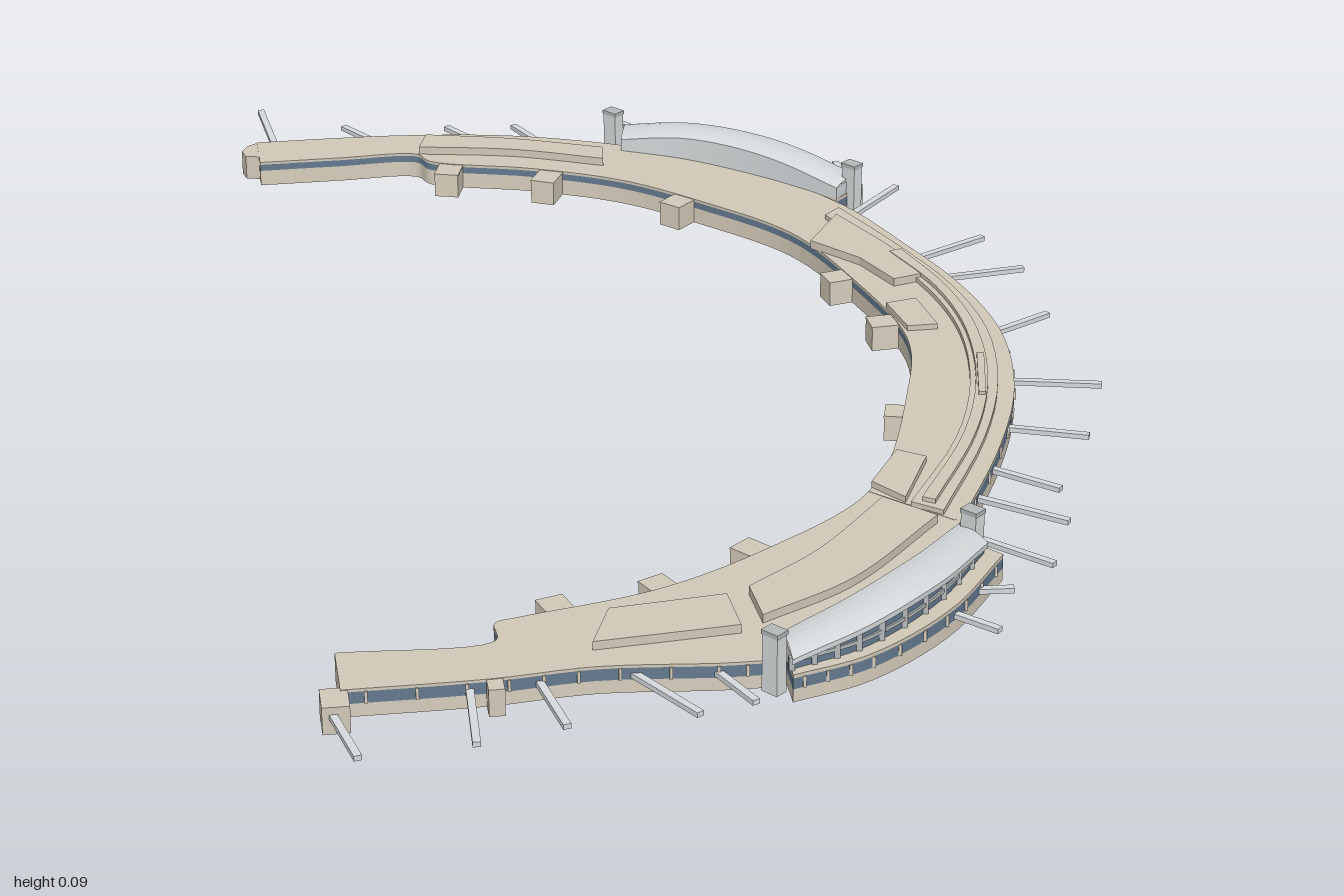
import * as THREE from 'three';

const mat = (name, color) => new THREE.MeshStandardMaterial({ name, color, side: THREE.DoubleSide });

export function createModel() {
  const M = {
    roof: mat('roof beige', 0xd1c8b7),
    wall: mat('wall cream', 0xd6cdbc),
    glass: mat('window blue', 0x64798e),
    pale: mat('pale metal', 0xd6dadc),
    grey: mat('frame grey', 0xb4b8b9),
  };
  const model = new THREE.Group();
  model.name = 'crescentTerminal';

  const add = (name, geo, m) => {
    const mesh = new THREE.Mesh(geo, m);
    mesh.name = name;
    model.add(mesh);
  };
  // Smooth plan curve [x, z] sampled into points
  const smooth = (pts, n = 60) =>
    new THREE.CatmullRomCurve3(pts.map(([x, z]) => new THREE.Vector3(x, 0, z))).getPoints(n).map(p => [p.x, p.z]);
  // Horizontal slab from a plan outline
  const slab = (name, pts, y0, y1, m) => {
    const shape = new THREE.Shape(pts.map(([x, z]) => new THREE.Vector2(x, z)));
    const g = new THREE.ExtrudeGeometry(shape, { depth: y1 - y0, bevelEnabled: false });
    g.rotateX(Math.PI / 2).translate(0, y1, 0);
    add(name, g, m);
  };
  // Grid of faces through rows of 3D points
  const loft = (name, rows, m) => {
    const v = [];
    for (let i = 0; i < rows.length - 1; i++)
      for (let j = 0; j < rows[i].length - 1; j++) {
        const [a, b, c, d] = [rows[i][j], rows[i][j + 1], rows[i + 1][j + 1], rows[i + 1][j]];
        v.push(...a, ...b, ...c, ...a, ...c, ...d);
      }
    const g = new THREE.BufferGeometry();
    g.setAttribute('position', new THREE.Float32BufferAttribute(v, 3));
    g.computeVertexNormals();
    add(name, g, m);
  };
  // Upright wall strip; bottom and top are functions of the fraction along it
  const band = (name, pts, bottom, top, m) => {
    const row = f => pts.map(([x, z], i) => [x, typeof f === 'function' ? f(i / (pts.length - 1)) : f, z]);
    loft(name, [row(top), row(bottom)], m);
  };
  // Box laid from one plan point to another
  const bar = (name, [x0, z0], [x1, z1], w, y0, y1, m) => {
    const g = new THREE.BoxGeometry(Math.hypot(x1 - x0, z1 - z0), y1 - y0, w);
    g.rotateY(-Math.atan2(z1 - z0, x1 - x0)).translate((x0 + x1) / 2, (y0 + y1) / 2, (z0 + z1) / 2);
    add(name, g, m);
  };
  const block = (name, x, z, w, d, angle, y0, y1, m) => {
    const g = new THREE.BoxGeometry(w, y1 - y0, d);
    g.rotateY(angle).translate(x, (y0 + y1) / 2, z);
    add(name, g, m);
  };
  const ribbon = (a, b, n = 24) => [...smooth(a, n), ...smooth(b, n).reverse()];

  // Main crescent: open-bottomed shell under one roof
  const outer = smooth([[-0.54, -0.84], [-0.44, -0.84], [-0.31, -0.835], [-0.15, -0.81], [0, -0.755], [0.06, -0.72], [0.2, -0.62],
    [0.315, -0.47], [0.378, -0.32], [0.432, -0.16], [0.455, 0], [0.435, 0.175], [0.378, 0.345], [0.28, 0.55],
    [0.205, 0.695], [0.1, 0.79], [0, 0.86], [-0.06, 0.865], [-0.23, 0.85], [-0.36, 0.86], [-0.54, 0.86]], 120);
  const inner = smooth([[-0.54, -0.76], [-0.42, -0.76], [-0.3, -0.758], [-0.28, -0.725], [-0.13, -0.675], [0, -0.61], [0.11, -0.51],
    [0.22, -0.38], [0.28, -0.21], [0.32, 0], [0.285, 0.175], [0.18, 0.45], [0.03, 0.58], [-0.13, 0.67], [-0.31, 0.715],
    [-0.34, 0.725], [-0.345, 0.77], [-0.54, 0.77]], 119);
  slab('mainRoof', [...outer, ...inner.slice().reverse()], 0.034, 0.038, M.roof);
  // Outer walls stop where the halls open into the crescent
  const outerRuns = [([x, z]) => z < -0.6 && x < 0.03, ([, z]) => z > -0.5 && z < 0.6, ([x, z]) => z > 0.6 && x < 0.01];
  for (const run of outerRuns.map(test => outer.filter(test))) {
    band('outerLowerWall', run, 0, 0.018, M.wall);
    band('outerWindows', run, 0.018, 0.034, M.glass);
    for (const p of run.filter((_, i) => i % 2 === 1))
      block('windowMullion', p[0], p[1], 0.004, 0.004, 0, 0.018, 0.034, M.wall);
  }
  band('innerLowerWall', inner, 0, 0.024, M.wall);
  band('innerWindows', inner, 0.024, 0.034, M.glass);
  for (const k of [0, 1]) band('endWall', [outer.at(-k), inner.at(-k)], 0, 0.034, M.wall);
  bar('crossWall', [0.18, 0.45], [0.275, 0.545], 0.004, 0, 0.0385, M.wall);

  // Rounded and stepped ends of the two arms
  slab('backArmTip', [[-0.54, -0.84], [-0.555, -0.83], [-0.565, -0.81], [-0.56, -0.79], [-0.54, -0.785]], 0, 0.037, M.roof);
  block('frontArmTip', -0.548, 0.875, 0.034, 0.045, 0, 0, 0.037, M.roof);
  block('frontArmPier', -0.355, 0.87, 0.02, 0.03, 0, 0, 0.037, M.roof);

  // Raised roof tiers
  slab('backTier', ribbon([[-0.28, -0.805], [-0.15, -0.77], [-0.015, -0.715]], [[-0.295, -0.757], [-0.15, -0.725], [-0.02, -0.67]]),
    0.037, 0.05, M.roof);
  slab('middleTier', ribbon([[0.305, -0.445], [0.365, -0.3], [0.415, -0.15], [0.434, 0], [0.414, 0.165], [0.36, 0.33], [0.262, 0.53]],
    [[0.28, -0.42], [0.335, -0.28], [0.38, -0.14], [0.395, 0], [0.375, 0.165], [0.32, 0.33], [0.225, 0.5]]), 0.037, 0.045, M.roof);
  slab('middleTopTier', ribbon([[0.365, -0.27], [0.403, -0.14], [0.418, 0], [0.4, 0.165], [0.347, 0.33], [0.255, 0.51]],
    [[0.347, -0.265], [0.388, -0.14], [0.402, 0], [0.383, 0.165], [0.33, 0.33], [0.24, 0.5]]), 0.045, 0.051, M.roof);
  bar('roofPlant', [0.403, 0.1], [0.38, 0.22], 0.01, 0.051, 0.056, M.roof);
  slab('backRoofRoom', [[0.24, -0.32], [0.295, -0.41], [0.345, -0.3], [0.388, -0.185], [0.335, -0.17], [0.3, -0.25]], 0.037, 0.05, M.roof);
  slab('smallRoofRoom', [[0.31, -0.1], [0.355, -0.11], [0.368, -0.02], [0.325, -0.02]], 0.037, 0.046, M.roof);
  slab('frontRoofRoom', [[0.235, 0.355], [0.27, 0.38], [0.22, 0.49], [0.185, 0.44]], 0.037, 0.047, M.roof);
  slab('frontHallTier', ribbon([[-0.015, 0.775], [0.11, 0.7], [0.25, 0.55]], [[-0.02, 0.7], [0.08, 0.62], [0.19, 0.49]]), 0.037, 0.05, M.roof);
  slab('frontArmTier', [[-0.2, 0.73], [-0.05, 0.715], [-0.045, 0.795], [-0.23, 0.81]], 0.037, 0.05, M.roof);

  // Entrance halls: apron, glazed facade, arched pale roof and end towers
  const hall = (a, b, apron, towers) => {
    const n = 20, out = smooth(a, n), inn = smooth(b, n), front = smooth(apron, n);
    const rise = t => 0.056 + 0.019 * Math.sin(Math.PI * t);
    const walls = [inn[0], ...front, inn[n]];
    slab('hallApron', [...front, ...inn.slice().reverse()], 0.033, 0.038, M.roof);
    band('hallLowerWall', walls, 0, 0.018, M.wall);
    band('hallLowerWindows', walls, 0.018, 0.033, M.glass);
    for (let i = 1; i < n; i += 2)
      block('windowMullion', front[i][0], front[i][1], 0.004, 0.004, 0, 0.018, 0.033, M.wall);
    const across = v => out.map(([x, z], i) => [
      inn[i][0] + (x - inn[i][0]) * v, rise(i / n) + 0.005 * (1 - (2 * v - 1) ** 2), inn[i][1] + (z - inn[i][1]) * v]);
    loft('archedRoof', [0, 0.2, 0.4, 0.6, 0.8, 1].map(across), M.pale);
    band('roofEdge', out, t => rise(t) - 0.007, rise, M.pale);
    const facade = across(0.88).map(([x, , z]) => [x, z]);
    band('facadeGlass', facade, 0.038, t => rise(t) + 0.001, M.glass);
    band('innerHallWall', inn, 0.038, rise, M.pale);
    for (const k of [0, n]) band('hallEndWall', [facade[k], inn[k]], 0.038, 0.057, M.pale);
    for (let i = 0; i < n; i += 2)
      block('facadeColumn', facade[i][0], facade[i][1], 0.007, 0.007, 0, 0.038, rise(i / n), M.grey);
    for (let i = 0; i < n; i++) bar('facadeRail', facade[i], facade[i + 1], 0.005, 0.048, 0.053, M.grey);
    for (const [x, z] of towers) {
      block('hallTower', x, z, 0.018, 0.024, 0.7, 0, 0.079, M.pale);
      block('towerCap', x, z, 0.02, 0.026, 0.7, 0.079, 0.085, M.grey);
    }
  };
  hall([[0.03, -0.785], [0.13, -0.735], [0.25, -0.645], [0.35, -0.535]],
    [[0.015, -0.725], [0.11, -0.675], [0.22, -0.585], [0.31, -0.49]],
    [[0.06, -0.815], [0.17, -0.745], [0.27, -0.655], [0.36, -0.54]], [[0.01, -0.775], [0.338, -0.515]]);
  hall([[0, 0.9], [0.1, 0.86], [0.21, 0.765], [0.295, 0.645]],
    [[0, 0.83], [0.09, 0.785], [0.185, 0.7], [0.268, 0.59]],
    [[0, 0.905], [0.1, 0.87], [0.22, 0.775], [0.315, 0.645]], [[-0.018, 0.875], [0.283, 0.605]]);

  // Boarding bridges around the outer edge: x, z at the wall, then at the tip
  const bridges = [[-0.51, -0.84, -0.525, -1], [-0.35, -0.84, -0.4, -0.915], [-0.185, -0.805, -0.24, -0.89],
    [-0.09, -0.78, -0.135, -0.88], [0.09, -0.79, 0.025, -0.88], [0.19, -0.725, 0.15, -0.84], [0.265, -0.65, 0.23, -0.755],
    [0.355, -0.54, 0.34, -0.66], [0.32, -0.45, 0.415, -0.555], [0.375, -0.28, 0.505, -0.35], [0.413, -0.217, 0.54, -0.233],
    [0.45, -0.025, 0.54, -0.075], [0.435, 0.13, 0.562, 0.16], [0.39, 0.265, 0.508, 0.31], [0.35, 0.38, 0.435, 0.455],
    [0.31, 0.455, 0.425, 0.545], [0.27, 0.545, 0.38, 0.655], [0.25, 0.705, 0.315, 0.71], [0.19, 0.725, 0.275, 0.81],
    [-0.185, 0.85, -0.12, 0.955], [-0.085, 0.86, -0.05, 0.937], [-0.3, 0.855, -0.28, 0.96],
    [-0.385, 0.86, -0.39, 0.985], [-0.555, 0.88, -0.53, 0.995]];
  for (const [x0, z0, x1, z1] of bridges) bar('boardingBridge', [x0, z0], [x1, z1], 0.01, 0.02, 0.027, M.pale);

  // Stair blocks along the inner edge: x, z, turn
  const stairs = [[-0.255, -0.695, -0.3], [-0.11, -0.645, -0.45], [0.075, -0.525, -0.8], [0.265, -0.22, -1.35],
    [0.3, -0.06, -1.5], [0.268, 0.225, 1.3], [0.005, 0.58, 0.7], [-0.125, 0.657, 0.45], [-0.26, 0.69, 0.3]];
  for (const [x, z, a] of stairs) {
    block('stairBlock', x, z, 0.036, 0.045, a, 0, 0.034, M.wall);
    block('stairBlockRoof', x, z, 0.037, 0.046, a, 0.034, 0.037, M.roof);
  }
  return model;
}
